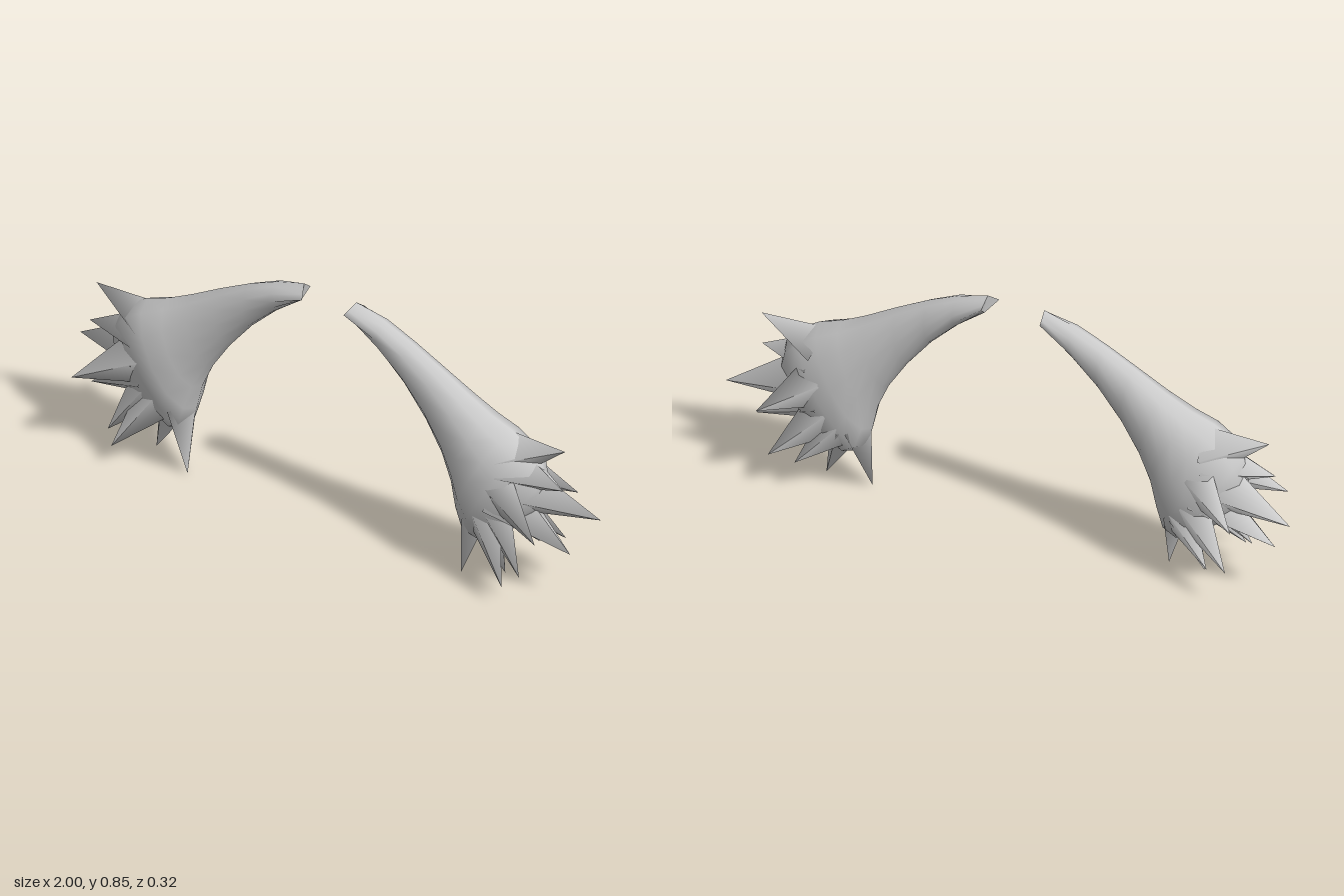
import * as THREE from 'three';

const SIDES = 12;
const material = new THREE.MeshStandardMaterial({ color: 0xcccccc, side: THREE.DoubleSide });

// Cross-sections from root to brush: upper x, y, lower x, y, half depth, centre z
const SECTIONS = [
  [0.10, 0.855, 0.112, 0.787, 0.042, 0.004],
  [0.206, 0.824, 0.206, 0.716, 0.045, 0.004],
  [0.31, 0.78, 0.30, 0.625, 0.049, 0.004],
  [0.42, 0.723, 0.385, 0.52, 0.06, 0.004],
  [0.53, 0.661, 0.45, 0.42, 0.08, 0.004],
  [0.62, 0.616, 0.49, 0.33, 0.10, 0.006],
  [0.70, 0.588, 0.51, 0.24, 0.116, 0.008],
  [0.765, 0.55, 0.53, 0.165, 0.114, 0.006],
  [0.81, 0.495, 0.575, 0.14, 0.10, 0],
  [0.825, 0.43, 0.64, 0.165, 0.076, 0],
  [0.815, 0.37, 0.71, 0.22, 0.042, 0],
];

// Spikes: base x, y, z, tip x, y, z, half width, half depth
const SPIKES = [
  // Middle row, spanning the depth of the brush
  [0.69, 0.50, 0.0, 0.90, 0.572, 0.0, 0.085, 0.095],
  [0.70, 0.455, 0.005, 0.91, 0.44, 0.025, 0.09, 0.105],
  [0.69, 0.39, 0.005, 1.00, 0.32, -0.055, 0.115, 0.115],
  [0.66, 0.325, 0.005, 0.92, 0.19, 0.0, 0.095, 0.115],
  [0.59, 0.25, 0.0, 0.67, 0.035, 0.0, 0.065, 0.095],
  [0.565, 0.25, 0.005, 0.525, 0.003, 0.038, 0.052, 0.09],
  // Outer rows, flaring to the front and back
  [0.66, 0.41, 0.05, 0.89, 0.30, 0.16, 0.105, 0.062],
  [0.65, 0.42, -0.045, 0.84, 0.31, -0.165, 0.10, 0.06],
  [0.63, 0.31, -0.045, 0.81, 0.14, -0.14, 0.09, 0.058],
  [0.61, 0.29, 0.045, 0.75, 0.08, 0.14, 0.085, 0.06],
  [0.65, 0.31, 0.045, 0.79, 0.11, 0.10, 0.08, 0.055],
  [0.59, 0.27, -0.045, 0.73, 0.115, -0.11, 0.075, 0.05],
];

// Curved, flaring body lofted through the cross-sections, closed at both ends
function bodyGeometry() {
  const points = [];
  const index = [];
  SECTIONS.forEach(([ux, uy, lx, ly, depth, cz], row) => {
    for (let i = 0; i < SIDES; i++) {
      const a = (i / SIDES) * Math.PI * 2;
      let c = Math.cos(a), s = Math.sin(a), slant = 0;
      if (row === 0) {
        // The root is a diamond cut at a slant
        c = 1 - Math.acos(c) * 2 / Math.PI;
        s = Math.asin(s) * 2 / Math.PI;
        slant = -0.012 * s - 0.014 * Math.abs(s);
      }
      const t = (1 + c) / 2;
      points.push(lx + (ux - lx) * t + slant, ly + (uy - ly) * t, cz + s * depth);
    }
    if (row === 0) return;
    for (let i = 0; i < SIDES; i++) {
      const j = (i + 1) % SIDES;
      const a = (row - 1) * SIDES + i, b = (row - 1) * SIDES + j;
      const c = row * SIDES + i, d = row * SIDES + j;
      index.push(a, b, c, b, d, c);
    }
  });
  // Rounded closing point inside the brush
  const apex = points.length / 3;
  points.push(0.78, 0.29, 0);
  const last = (SECTIONS.length - 1) * SIDES;
  for (let i = 0; i < SIDES; i++) index.push(last + i, last + ((i + 1) % SIDES), apex);
  // Root cap with its own vertices, so the edge stays sharp
  const cap = apex + 1;
  points.push(...points.slice(0, SIDES * 3));
  for (let i = 1; i < SIDES - 1; i++) index.push(cap, cap + i + 1, cap + i);

  const geometry = new THREE.BufferGeometry();
  geometry.setAttribute('position', new THREE.Float32BufferAttribute(points, 3));
  geometry.setIndex(index);
  geometry.computeVertexNormals();
  return geometry;
}

// Four-sided blade running from a base centre inside the body to a tip
function spikeGeometry([bx, by, bz, tx, ty, tz, width, depth]) {
  const base = new THREE.Vector3(bx, by, bz);
  const along = new THREE.Vector3(tx, ty, tz).sub(base);
  const zAxis = new THREE.Vector3(0, 0, 1);
  const across = along.clone().cross(zAxis).normalize().multiplyScalar(width);
  const matrix = new THREE.Matrix4().makeBasis(across, along, zAxis.multiplyScalar(depth));
  matrix.setPosition(base);
  return new THREE.ConeGeometry(1, 1, 4, 1, true).translate(0, 0.5, 0).applyMatrix4(matrix);
}

function createLock(name) {
  const lock = new THREE.Group();
  lock.name = name;
  const body = new THREE.Mesh(bodyGeometry(), material);
  body.name = 'lockBody';
  lock.add(body);
  SPIKES.forEach((data, i) => {
    const spike = new THREE.Mesh(spikeGeometry(data), material);
    spike.name = `spike${i + 1}`;
    lock.add(spike);
  });
  return lock;
}

export function createModel() {
  const model = new THREE.Group();
  model.name = 'pigtails';
  const left = createLock('leftLock');
  const right = createLock('rightLock');
  right.scale.x = -1;
  model.add(left, right);
  return model;
}
